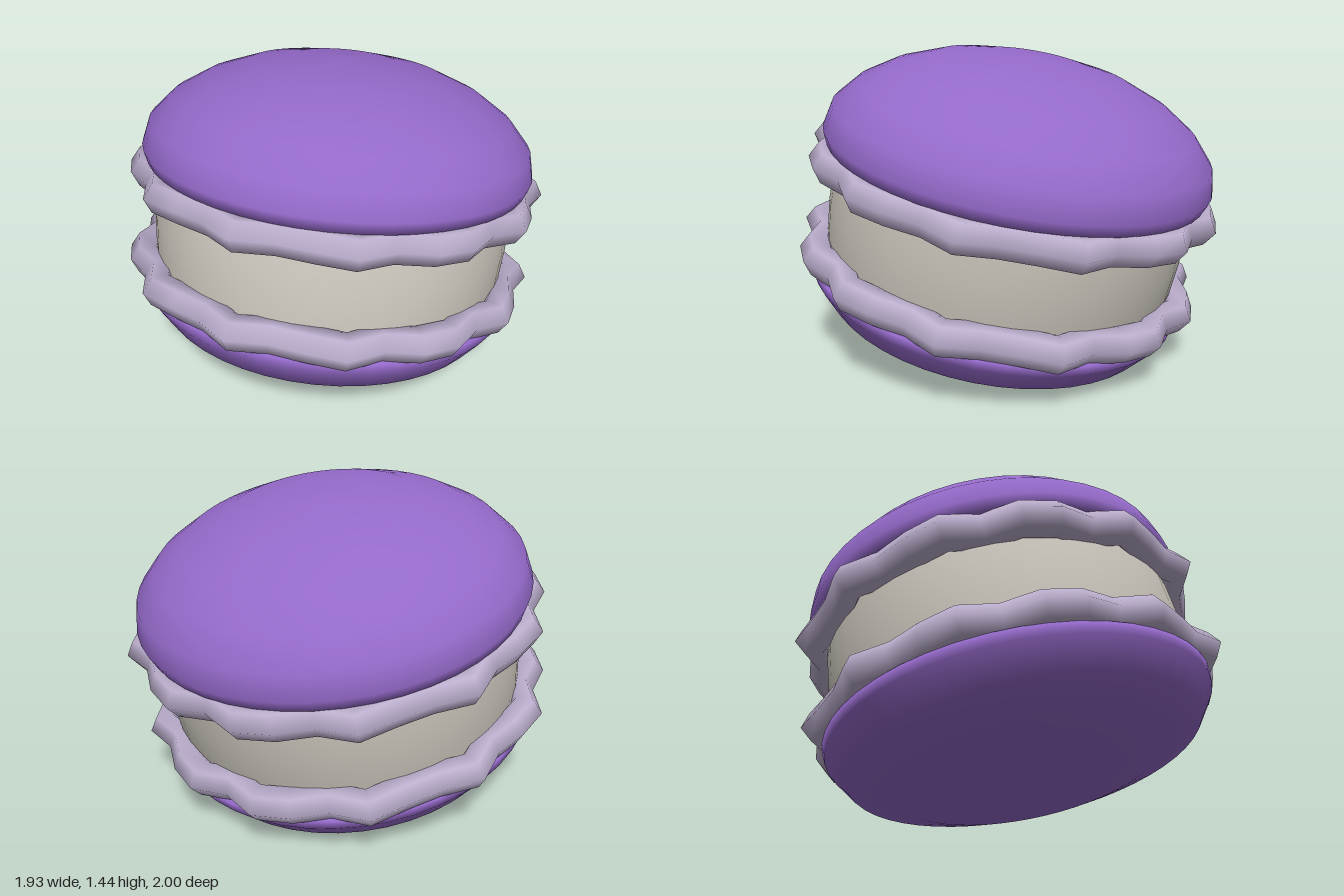
import * as THREE from 'three';
import { mergeVertices } from 'three/addons/utils/BufferGeometryUtils.js';

const material = (color) => new THREE.MeshStandardMaterial({ color });

// Round part turned from a profile of [radius, height], listed bottom to top
function turned(name, profile, mat) {
  const points = profile.map(([r, h]) => new THREE.Vector2(r, h));
  const mesh = new THREE.Mesh(new THREE.LatheGeometry(points, 48), mat);
  mesh.name = name;
  return mesh;
}

// Six-sided ring whose radius ripples in 13 lobes, like a ruffled biscuit foot
function ruffle(name, height, mat) {
  let geometry = new THREE.TorusGeometry(0.875, 0.076, 6, 36).rotateX(Math.PI / 2);
  geometry.deleteAttribute('uv');
  geometry.deleteAttribute('normal');
  const p = geometry.attributes.position;
  for (let i = 0; i < p.count; i++) {
    const x = p.getX(i), z = p.getZ(i);
    const s = 1 + 0.038 * Math.sin(13 * Math.atan2(z, x));
    p.setXYZ(i, x * s, p.getY(i), z * s);
  }
  geometry = mergeVertices(geometry, 1e-4);
  geometry.computeVertexNormals();
  const mesh = new THREE.Mesh(geometry, mat);
  mesh.name = name;
  mesh.position.y = height;
  return mesh;
}

export function createModel() {
  const shellMat = material(0x9469c9);
  const ruffleMat = material(0xbbaecd);
  const creamMat = material(0xccc7bd);

  const biscuit = new THREE.Group();
  biscuit.name = 'sandwichBiscuit';
  biscuit.add(
    // domed upper shell
    turned('upperShell', [
      [0.8, 0.24], [0.893, 0.285], [0.913, 0.34], [0.885, 0.449], [0.787, 0.557],
      [0.643, 0.649], [0.445, 0.727], [0.239, 0.767], [0, 0.78],
    ], shellMat),
    // flat-bottomed lower shell
    turned('lowerShell', [
      [0, -0.52], [0.3, -0.52], [0.61, -0.517], [0.81, -0.449],
      [0.893, -0.335], [0.9, -0.285], [0.8, -0.24],
    ], shellMat),
    // slightly bulging cream
    turned('filling', [
      [0.825, -0.3], [0.843, -0.15], [0.85, 0], [0.843, 0.15], [0.825, 0.3],
    ], creamMat),
    ruffle('upperRuffle', 0.22, ruffleMat),
    ruffle('lowerRuffle', -0.22, ruffleMat),
  );

  // tipped back, resting on the rear edge
  biscuit.rotation.x = THREE.MathUtils.degToRad(-12);
  biscuit.position.set(0, 0.635, -0.014);

  const model = new THREE.Group();
  model.name = 'model';
  model.add(biscuit);
  return model;
}
